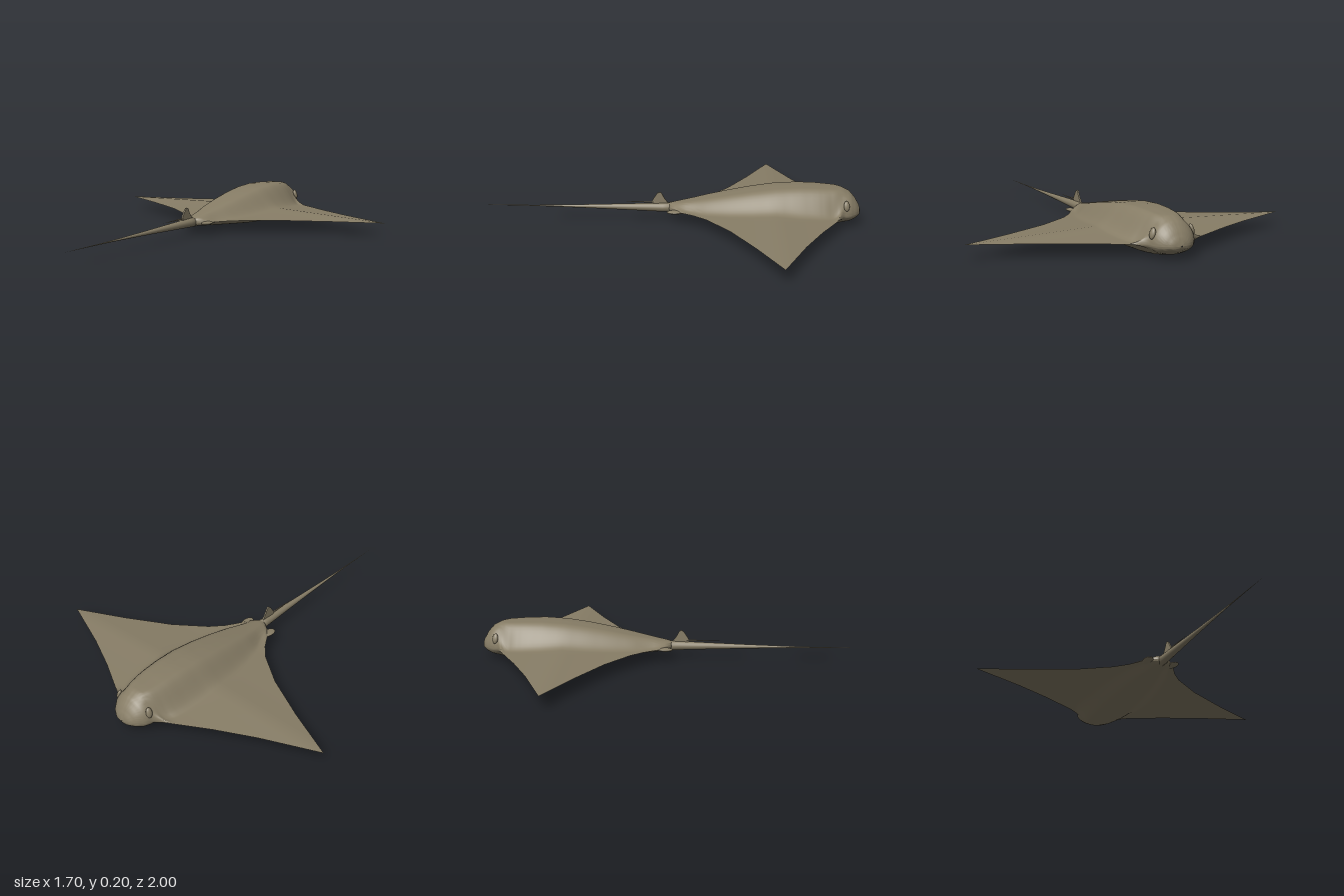
import * as THREE from 'three';
import { toCreasedNormals } from 'three/addons/utils/BufferGeometryUtils.js';

const MID = 0.07; // height of the wing plane
const { smoothstep, lerp } = THREE.MathUtils;

// Stations from nose to tail root: z, half width, top, bottom, half width of the hump
const STATIONS = [
  [-1, 0.003, 0.072, 0.067, 0.003],
  [-0.992, 0.045, 0.1, 0.05, 0.045],
  [-0.97, 0.078, 0.138, 0.035, 0.078],
  [-0.94, 0.102, 0.172, 0.022, 0.1],
  [-0.9, 0.118, 0.192, 0.014, 0.12],
  [-0.86, 0.195, 0.196, 0.009, 0.16],
  [-0.81, 0.285, 0.199, 0.005, 0.18],
  [-0.765, 0.365, 0.202, 0.003, 0.19],
  [-0.67, 0.56, 0.204, 0.001, 0.2],
  [-0.55, 0.85, 0.197, 0.002, 0.2],
  [-0.43, 0.59, 0.18, 0.01, 0.19],
  [-0.31, 0.36, 0.158, 0.021, 0.17],
  [-0.195, 0.2, 0.134, 0.032, 0.14],
  [-0.13, 0.14, 0.12, 0.038, 0.11],
  [-0.06, 0.095, 0.106, 0.044, 0.08],
  [-0.01, 0.05, 0.097, 0.048, 0.045],
  [0.005, 0.028, 0.094, 0.05, 0.028],
  [0.01, 0.002, 0.071, 0.069, 0.002],
];

// Lofted head, hump and wings: rounded at the ends, bell-shaped between
function bodyGeometry() {
  const half = 44, ring = half * 2, sub = 3;
  const rows = [];
  STATIONS.forEach((a, i) => {
    const b = STATIONS[i + 1];
    if (!b) return rows.push(a);
    for (let k = 0; k < sub; k++) rows.push(a.map((v, n) => lerp(v, b[n], k / sub)));
  });
  const pos = [], index = [];
  rows.forEach(([z, w, top, bottom, hump], i) => {
    const k = smoothstep(z, -0.925, -0.85) * (1 - smoothstep(z, -0.1, 0));
    const core = Math.min(hump * 1.05, w * 0.8);
    for (let j = 0; j < ring; j++) {
      const upper = j <= half;
      const s = upper ? -1 + (2 * j) / half : 1 - (2 * (j - half)) / half;
      const u = Math.abs(s);
      const spread = u < 0.7 ? (core * u) / 0.7 : core + ((w - core) * (u - 0.7)) / 0.3;
      const x = lerp(w * Math.sin((u * Math.PI) / 2), spread, k);
      const height = upper ? top - MID : bottom - MID;
      const wing = (upper ? 0.03 : -0.024) * (w / 0.85);
      const round = height * Math.sqrt(Math.max(0, 1 - (x / w) ** 2));
      const bell = (height - wing) * (1 - smoothstep(x / hump, 0.3, 1)) * (1 - (x / w) ** 8)
        + wing * (1 - x / w);
      pos.push(Math.sign(s) * x, MID + lerp(round, bell, k), z);
      if (i < rows.length - 1) {
        const p = i * ring + j, q = i * ring + ((j + 1) % ring);
        index.push(p, p + ring, q, q, p + ring, q + ring);
      }
    }
  });
  const g = new THREE.BufferGeometry();
  g.setAttribute('position', new THREE.Float32BufferAttribute(pos, 3));
  g.setIndex(index);
  return toCreasedNormals(g, 1.0);
}

export function createModel() {
  const model = new THREE.Group();
  model.name = 'ray';
  const skin = new THREE.MeshStandardMaterial({ color: 0x877d66 });
  skin.name = 'brown skin';

  const add = (name, geometry, x = 0, y = 0, z = 0) => {
    const mesh = new THREE.Mesh(geometry, skin);
    mesh.name = name;
    mesh.position.set(x, y, z);
    model.add(mesh);
    return mesh;
  };

  add('bodyAndWings', bodyGeometry());

  // Whip tail, turned around its length
  const tailProfile = [[0, -0.02], [0.026, -0.02], [0.024, 0.04], [0.018, 0.2], [0.011, 0.4],
    [0.006, 0.58], [0.003, 0.72], [0.0015, 0.88], [0, 1]];
  const tail = new THREE.LatheGeometry(tailProfile.map(([r, z]) => new THREE.Vector2(r, z)), 16);
  add('tail', tail.rotateX(Math.PI / 2), 0, MID, 0);

  // Upright fin at the tail root
  const fin = new THREE.Shape();
  fin.moveTo(0.0, 0.085);
  fin.quadraticCurveTo(0.03, 0.11, 0.042, 0.14);
  fin.quadraticCurveTo(0.055, 0.165, 0.073, 0.143);
  fin.quadraticCurveTo(0.09, 0.12, 0.1, 0.1);
  fin.lineTo(0.09, 0.08);
  fin.closePath();
  const finGeometry = new THREE.ExtrudeGeometry(fin, { depth: 0.008, bevelEnabled: false, curveSegments: 8 });
  add('dorsalFin', finGeometry.rotateY(-Math.PI / 2), 0.004);

  // Barb lying just above the tail
  const barb = new THREE.ConeGeometry(0.005, 0.18, 8).rotateX(Math.PI / 2);
  add('tailBarb', barb, 0, 0.099, 0.175);

  for (const side of [-1, 1]) {
    const name = side > 0 ? 'left' : 'right';
    const pelvic = add(name + 'PelvicFin', new THREE.SphereGeometry(1, 20, 12), side * 0.072, 0.067, -0.03);
    pelvic.scale.set(0.027, 0.009, 0.047);
    pelvic.rotation.y = side * 0.15;

    const eye = add(name + 'Eye', new THREE.SphereGeometry(1, 16, 12), side * 0.102, 0.122, -0.915);
    eye.scale.set(0.011, 0.027, 0.016);
    eye.rotation.set(0, side * 0.3, side * 0.3);
  }
  return model;
}
